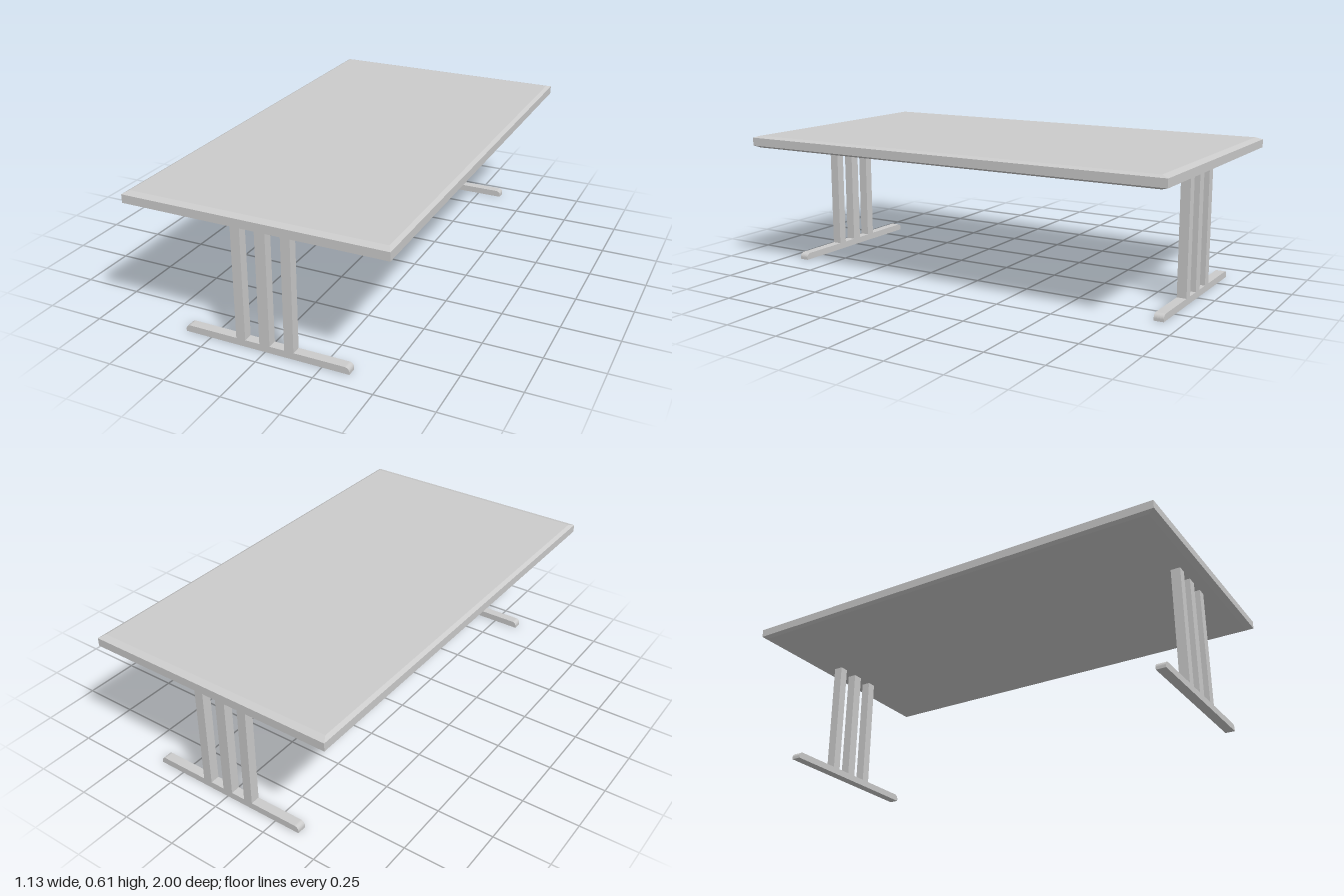
import * as THREE from 'three';

const material = new THREE.MeshStandardMaterial({ color: 0xcccccc, flatShading: true });

function addMesh(parent, name, geometry, x = 0, y = 0, z = 0) {
  const mesh = new THREE.Mesh(geometry, material);
  mesh.name = name;
  mesh.position.set(x, y, z);
  parent.add(mesh);
  return mesh;
}

// Slab whose top and bottom edges are chamfered
function chamferedSlab(w, h, d, insetX, insetY, insetZ) {
  const geometry = new THREE.BoxGeometry(w, h, d, 1, 3, 1);
  const p = geometry.attributes.position;
  for (let i = 0; i < p.count; i++) {
    const y = p.getY(i);
    if (Math.abs(y) > h * 0.4) {
      p.setX(i, p.getX(i) - Math.sign(p.getX(i)) * insetX);
      p.setZ(i, p.getZ(i) - Math.sign(p.getZ(i)) * insetZ);
    } else {
      p.setY(i, Math.sign(y) * (h / 2 - insetY));
    }
  }
  geometry.computeVertexNormals();
  return geometry;
}

// Foot bar with rounded upper ends, extruded along z
function footBar(length, height, depth, radius) {
  const e = length / 2;
  const shape = new THREE.Shape();
  shape.moveTo(-e, 0);
  shape.lineTo(e, 0);
  shape.lineTo(e, height - radius);
  shape.absarc(e - radius, height - radius, radius, 0, Math.PI / 2, false);
  shape.lineTo(-e + radius, height);
  shape.absarc(-e + radius, height - radius, radius, Math.PI / 2, Math.PI, false);
  return new THREE.ExtrudeGeometry(shape, { depth, bevelEnabled: false, curveSegments: 4 })
    .translate(0, 0, -depth / 2);
}

export function createModel() {
  const table = new THREE.Group();
  table.name = 'table';

  const topBottom = 0.557, topHeight = 0.054;
  const footHeight = 0.03, legDepth = 0.042, legZ = 0.903;

  addMesh(table, 'tabletop', chamferedSlab(1.13, topHeight, 2, 0.017, 0.009, 0.03),
    0, topBottom + topHeight / 2, 0);

  // One trestle at each end: a foot bar carrying three posts
  for (const side of [1, -1]) {
    const trestle = new THREE.Group();
    trestle.name = side > 0 ? 'frontTrestle' : 'backTrestle';
    trestle.position.z = side * legZ;
    table.add(trestle);

    addMesh(trestle, 'foot', footBar(0.736, footHeight, legDepth, 0.02));

    const postHeight = topBottom - footHeight;
    for (const [name, x, width] of [
      ['rightPost', -0.11, 0.041], ['middlePost', -0.002, 0.046], ['leftPost', 0.107, 0.041],
    ]) {
      addMesh(trestle, name, new THREE.BoxGeometry(width, postHeight, legDepth),
        x, footHeight + postHeight / 2, 0);
    }
  }
  return table;
}
